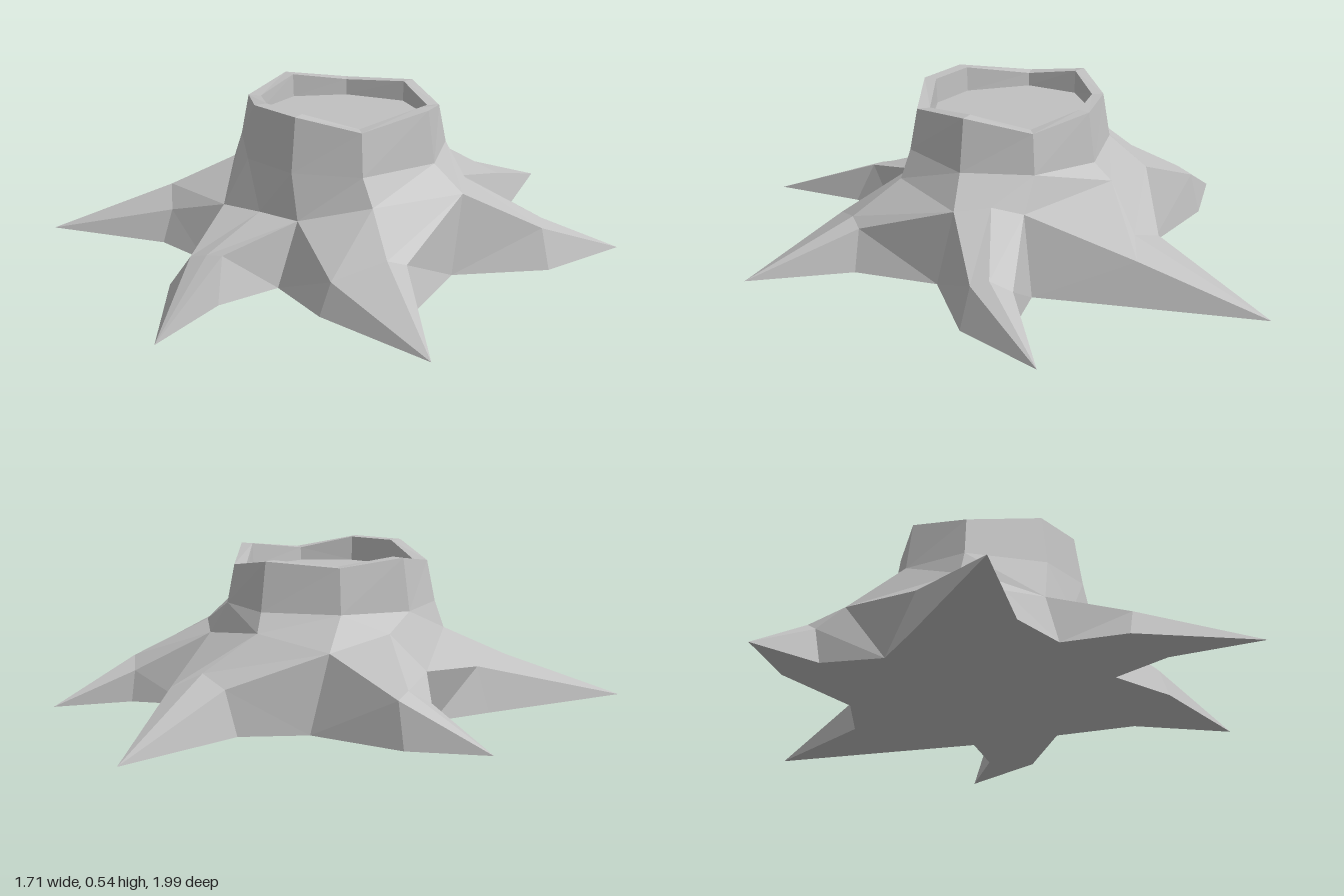
import * as THREE from 'three';

const AXIS_X = 0.05; // trunk axis, slightly off centre

// Lists of triangles -> flat shaded mesh
function facets(name, tris, material) {
  const g = new THREE.BufferGeometry();
  g.setAttribute('position', new THREE.Float32BufferAttribute(tris.flat(2), 3));
  g.computeVertexNormals();
  const mesh = new THREE.Mesh(g, material);
  mesh.name = name;
  return mesh;
}

const quad = (a, b, c, d) => [[a, b, c], [a, c, d]];

// Scale a loop about the trunk axis and move its heights
const ring = (loop, s, height) =>
  loop.map(([x, y, z]) => [AXIS_X + (x - AXIS_X) * s, height(y), z * s]);

// Angles around the axis, always increasing, one extra entry to close the loop
function angles(loop) {
  const out = [];
  for (let i = 0; i <= loop.length; i++) {
    const p = loop[i % loop.length];
    let a = Math.atan2(p[2], p[0] - AXIS_X);
    while (i && a < out[i - 1]) a += Math.PI * 2;
    out.push(a);
  }
  return out;
}

// Join two loops that may have different numbers of points
function stitch(low, up) {
  const la = angles(low), ua = angles(up), tris = [];
  let i = 0, j = 0;
  while (i < low.length || j < up.length) {
    const l0 = low[i % low.length], u0 = up[j % up.length];
    if (j >= up.length || (i < low.length && la[i + 1] <= ua[j + 1])) {
      tris.push([l0, u0, low[++i % low.length]]);
    } else {
      tris.push([l0, u0, up[++j % up.length]]);
    }
  }
  return tris;
}

// Hollows between roots: upper point, and the ground point below it
const valleys = [
  { top: [-0.155, 0.26, -0.4], foot: [-0.11, 0, -0.45] },
  { top: [0.39, 0.25, -0.215], foot: [0.45, 0, -0.275] },
  { top: [0.505, 0.265, -0.025], foot: [0.51, 0, 0.04] },
  { top: [0.13, 0.21, 0.375], foot: [0.11, 0, 0.455] },
  { top: [-0.195, 0.19, 0.355], foot: [-0.235, 0, 0.42] },
  { top: [-0.43, 0.2, -0.26], foot: [-0.4, 0, -0.12] },
];

// Each root: crown at the trunk, ridge, two shoulders with feet, and tip
const roots = [
  { crown: [0.11, 0.3, -0.39], ridge: [0.235, 0.185, -0.53], a: [0.13, 0.15, -0.57], aFoot: [0.09, 0, -0.565],
    b: [0.325, 0.14, -0.58], bFoot: [0.365, 0, -0.58], tip: [0.25, 0, -1] },
  { crown: [0.45, 0.28, -0.13], ridge: [0.68, 0.15, -0.25], a: [0.64, 0.11, -0.31], aFoot: [0.65, 0, -0.32],
    b: [0.71, 0.135, -0.2], bFoot: [0.75, 0, -0.185], tip: [0.85, 0, -0.5] },
  { crown: [0.35, 0.27, 0.27], ridge: [0.48, 0.16, 0.38], a: [0.52, 0.14, 0.33], aFoot: [0.56, 0, 0.325],
    b: [0.36, 0.105, 0.51], bFoot: [0.345, 0, 0.55], tip: [0.785, 0, 0.605] },
  { crown: [-0.03, 0.205, 0.37], ridge: [-0.05, 0.13, 0.615], a: [0.01, 0.14, 0.61], aFoot: [0.04, 0, 0.67],
    b: [-0.115, 0.11, 0.62], bFoot: [-0.19, 0, 0.64], tip: [0.065, 0, 0.99] },
  { crown: [-0.34, 0.27, 0.12], ridge: [-0.52, 0.165, 0.255], a: [-0.445, 0.11, 0.34], aFoot: [-0.45, 0, 0.385],
    b: [-0.49, 0.16, 0.05], bFoot: [-0.53, 0, 0.065], tip: [-0.86, 0, 0.51] },
  { crown: [-0.28, 0.3, -0.21], ridge: [-0.43, 0.17, -0.41], a: [-0.48, 0.12, -0.34], aFoot: [-0.47, 0, -0.325],
    b: [-0.42, 0.15, -0.465], bFoot: [-0.45, 0, -0.49], tip: [-0.715, 0, -0.42] },
];

// Uneven nine-sided rim of the cut trunk
const rim = [
  [-0.12, 0.51, -0.25], [0.12, 0.525, -0.31], [0.3, 0.49, -0.2],
  [0.385, 0.535, 0.005], [0.285, 0.5, 0.24], [0.09, 0.54, 0.33],
  [-0.1, 0.54, 0.3], [-0.28, 0.5, 0.11], [-0.28, 0.535, -0.1],
];

export function createModel() {
  const group = new THREE.Group();
  group.name = 'treeStump';
  const wood = new THREE.MeshStandardMaterial({ color: 0xc0c0c0 });
  wood.name = 'greyWood';

  // Roots, with flat tops and steep sides
  const skirt = [], ground = [];
  roots.forEach((r, i) => {
    const v = valleys[i], w = valleys[(i + 1) % valleys.length];
    group.add(facets('root' + (i + 1), [
      ...quad(v.top, r.crown, r.ridge, r.a),
      ...quad(r.crown, w.top, r.b, r.ridge),
      [r.a, r.ridge, r.tip], [r.ridge, r.b, r.tip],
      ...quad(v.foot, v.top, r.a, r.aFoot), [r.aFoot, r.a, r.tip],
      ...quad(w.foot, r.bFoot, r.b, w.top), [r.bFoot, r.tip, r.b],
    ], wood));
    skirt.push(v.top, r.crown);
    ground.push(v.foot, r.aFoot, r.tip, r.bFoot);
  });

  // Trunk, from the root crowns through a waist to the rim
  const waist = ring(rim, 1.08, () => 0.36);
  group.add(facets('trunk', [...stitch(skirt, waist), ...stitch(waist, rim)], wood));

  // Rim and the sunken cut face
  const inner = ring(rim, 0.87, (y) => y);
  const floor = ring(rim, 0.86, () => 0.455);
  group.add(facets('rim', [...stitch(rim, inner), ...stitch(inner, floor)], wood));
  const centre = [AXIS_X, 0.455, 0];
  group.add(facets('cutFace', floor.map((p, i) => [p, centre, floor[(i + 1) % floor.length]]), wood));

  // Flat underside
  const outline = new THREE.Shape(ground.map((p) => new THREE.Vector2(p[0], p[2])));
  const base = new THREE.Mesh(new THREE.ShapeGeometry(outline).rotateX(Math.PI / 2), wood);
  base.name = 'underside';
  group.add(base);
  return group;
}
